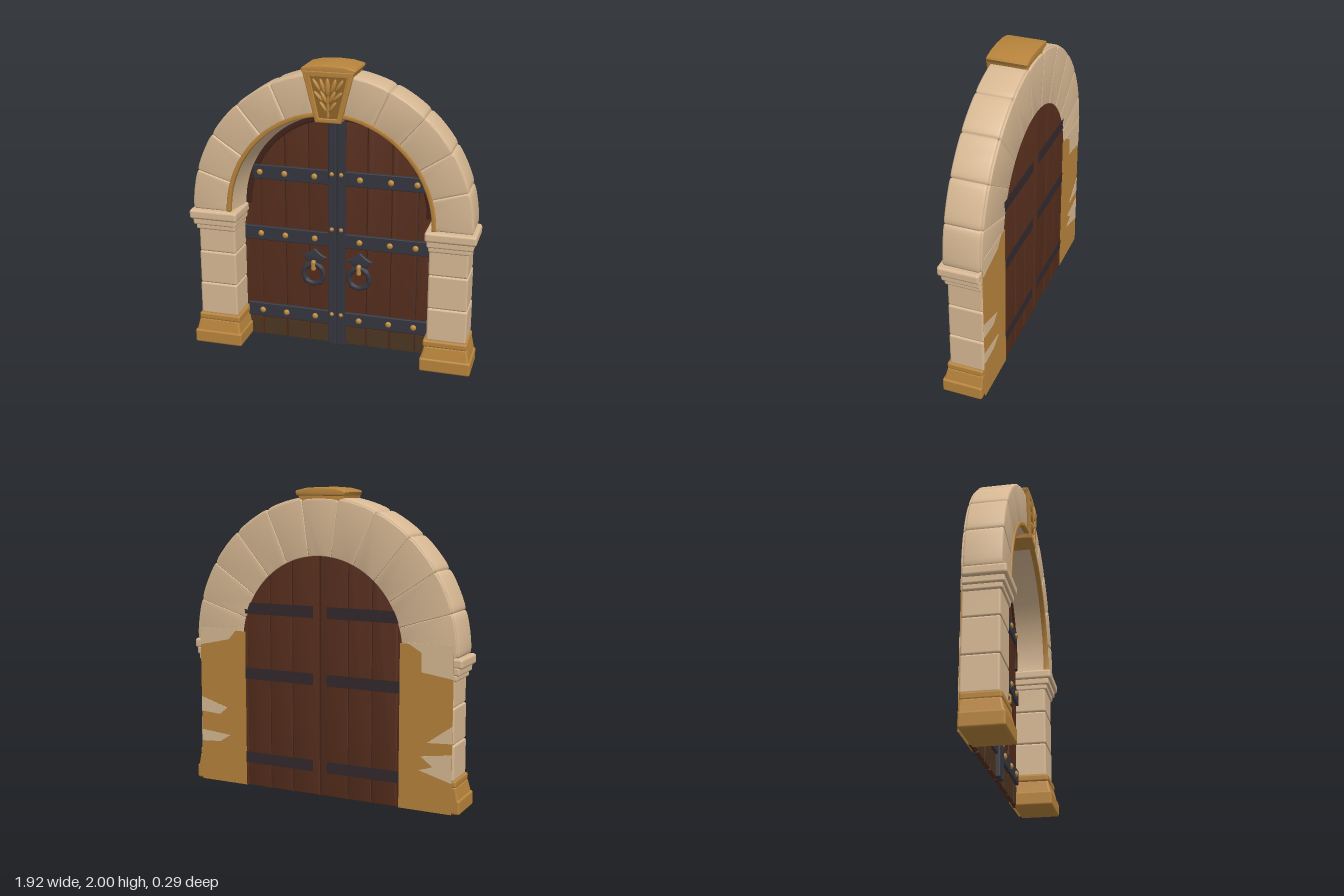
import * as THREE from 'three';
import { toCreasedNormals } from 'three/addons/utils/BufferGeometryUtils.js';
import { RoundedBoxGeometry } from 'three/addons/geometries/RoundedBoxGeometry.js';

const flat = (name, color, side = THREE.FrontSide) => {
  const m = new THREE.MeshStandardMaterial({ color, side });
  m.name = name;
  return m;
};

export function createModel() {
  const stone = flat('stone', 0xd8b994, THREE.DoubleSide);
  const gold = flat('ochreStone', 0xb8843c);
  const darkGold = flat('carvedRecess', 0x8f6429);
  const wood = flat('wood', 0x562e1d);
  const darkWood = flat('darkWood', 0x41241a);
  const stained = flat('stainedWood', 0x4c3522);
  const iron = flat('iron', 0x363640);
  const ironShade = flat('ironShade', 0x33292b);
  const bronze = flat('bronze', 0xbd8a3c);

  const model = new THREE.Group();
  const SPRING = 0.98; // height where the arch begins

  const add = (parent, name, geo, mat, x = 0, y = 0, z = 0) => {
    const m = new THREE.Mesh(geo, mat);
    m.name = name;
    m.position.set(x, y, z);
    parent.add(m);
    return m;
  };
  // Rounded block given by its limits; s mirrors it in x
  const block = (parent, name, mat, s, [x0, x1], [y0, y1], [z0, z1], r = 0.012, taper = 1) => {
    const g = r ? new RoundedBoxGeometry(x1 - x0, y1 - y0, z1 - z0, 2, r)
      : new THREE.BoxGeometry(x1 - x0, y1 - y0, z1 - z0);
    if (taper !== 1) {
      const p = g.attributes.position, h = y1 - y0;
      for (let i = 0; i < p.count; i++) {
        const k = 1 + (taper - 1) * (p.getY(i) / h + 0.5);
        p.setX(i, p.getX(i) * k);
        p.setZ(i, (p.getZ(i) + (z1 - z0) / 2) * (1 + (k - 1) * 0.7) - (z1 - z0) / 2);
      }
      g.computeVertexNormals();
    }
    return add(parent, name, g, mat, s * (x0 + x1) / 2, (y0 + y1) / 2, (z0 + z1) / 2);
  };
  // Extruded outline between z0 and z1, bevelled inwards
  const slab = (parent, name, mat, shape, z0, z1, bevel = 0) => {
    const g = new THREE.ExtrudeGeometry(shape, {
      depth: z1 - z0 - 2 * bevel, bevelEnabled: bevel > 0, bevelSize: bevel,
      bevelThickness: bevel, bevelOffset: -bevel, bevelSegments: 3, curveSegments: 40,
    });
    return add(parent, name, toCreasedNormals(g, 0.6), mat, 0, 0, z0 + bevel);
  };
  const poly = (pts) => new THREE.Shape(pts.map(([x, y]) => new THREE.Vector2(x, y)));
  const halfRing = (r0, r1) => {
    const s = new THREE.Shape();
    s.absarc(0, 0, r1, 0, Math.PI, false);
    s.absarc(0, 0, r0, Math.PI, 0, true);
    return s;
  };

  // Arch, slightly taller than a half circle
  const arch = new THREE.Group();
  arch.name = 'arch';
  arch.position.y = SPRING;
  arch.scale.y = 1.03;
  model.add(arch);
  // Wedge outline between two angles, outer corners eased
  const wedge = (s, a0, a1, r0, r1) => {
    const pts = [];
    [0, 0.02, 0.06, 0.15, 0.3, 0.5, 0.7, 0.85, 0.94, 0.98, 1].forEach((t, k) => {
      const a = a0 + (a1 - a0) * t;
      const r = r1 - ([0.012, 0.006, 0.002][Math.min(k, 10 - k)] || 0);
      pts.push([s * r * Math.cos(a), r * Math.sin(a)]);
    });
    for (let k = 4; k >= 0; k--) {
      const a = a0 + (a1 - a0) * k / 4;
      pts.push([s * r0 * Math.cos(a), r0 * Math.sin(a)]);
    }
    return poly(pts);
  };
  const step = 16.4 * Math.PI / 180;
  for (const s of [1, -1]) {
    for (let i = 0; i < 5; i++) {
      slab(arch, 'archStone', stone, wedge(s, i * step, (i + 1) * step, 0.685, 0.937), -0.135, 0.1, 0.013);
      slab(arch, 'archRearStone', stone, wedge(s, i * step, (i + 1) * step, 0.57, 0.925), -0.147, -0.13, 0.005);
    }
  }
  slab(arch, 'archRearStone', stone, wedge(1, 5 * step, Math.PI - 5 * step, 0.57, 0.92), -0.147, -0.13, 0.005);
  slab(arch, 'archTrim', gold, halfRing(0.672, 0.7), 0.07, 0.108, 0.006);
  // Splayed inner face of the arch
  const reveal = new THREE.LatheGeometry(
    [new THREE.Vector2(0.632, -0.135), new THREE.Vector2(0.675, 0.09)], 48, Math.PI / 2, Math.PI);
  reveal.rotateX(Math.PI / 2);
  add(arch, 'archReveal', reveal, stone);
  slab(arch, 'doorFrame', darkWood, halfRing(0.6, 0.64), -0.135, -0.105, 0.006);

  // Keystone with a carved leaf panel
  const key = new THREE.Group();
  key.name = 'keystone';
  model.add(key);
  const trap = (w0, y0, w1, y1) => [[-w0, y0], [w0, y0], [w1, y1], [-w1, y1]];
  slab(key, 'keystoneBody', gold, poly(trap(0.083, 1.64, 0.168, 1.97)), -0.132, 0.108, 0.01);
  const frame = poly(trap(0.083, 1.637, 0.166, 1.96));
  frame.holes.push(new THREE.Path(trap(0.058, 1.665, 0.118, 1.925).reverse()
    .map(([x, y]) => new THREE.Vector2(x, y))));
  slab(key, 'keystoneFrame', gold, frame, 0.09, 0.122, 0.006);
  slab(key, 'keystonePanel', darkGold, poly(trap(0.06, 1.663, 0.12, 1.927)), 0.105, 0.111);
  const crown = poly([[-0.165, 1.945], [0.165, 1.945], [0.176, 1.967], [0.17, 1.978],
    [0.1, 1.994], [0, 2], [-0.1, 1.994], [-0.17, 1.978], [-0.176, 1.967]]);
  slab(key, 'keystoneCrown', gold, crown, -0.146, 0.118, 0.01);
  const leaf = (x, y, tilt, len, z = 0.116) => {
    const m = add(key, 'leaf', new THREE.SphereGeometry(1, 12, 8), gold, x, y, z);
    m.scale.set(len * 0.3, len, 0.016);
    m.rotation.z = tilt;
  };
  leaf(0, 1.865, 0, 0.058, 0.126);
  for (const s of [1, -1]) {
    [[0.036, 1.87, 0.3, 0.048], [0.074, 1.875, 0.55, 0.045], [0.027, 1.8, 0.45, 0.045],
      [0.062, 1.805, 0.75, 0.042], [0.03, 1.74, 0.6, 0.04]]
      .forEach(([x, y, t, l]) => leaf(s * x, y, -s * t, l));
  }
  add(key, 'leafStem', new THREE.CylinderGeometry(0.007, 0.01, 0.18, 8), gold, 0, 1.765, 0.115);

  // Pillars
  for (const s of [1, -1]) {
    const p = new THREE.Group();
    p.name = s > 0 ? 'leftPillar' : 'rightPillar';
    model.add(p);
    block(p, 'plinth', gold, s, [0.62, 0.957], [0, 0.095], [-0.14, 0.127], 0.014);
    block(p, 'plinthSlope', gold, s, [0.625, 0.95], [0.075, 0.178], [-0.14, 0.122], 0.014, 0.87);
    block(p, 'plinthCollar', gold, s, [0.635, 0.93], [0.168, 0.216], [-0.14, 0.102], 0.014);
    [[0.21, 0.44], [0.44, 0.672], [0.672, 0.85]].forEach((y, i) =>
      block(p, 'pillarStone', stone, s, [0.655, 0.918 - i * 0.004], y, [-0.144, 0.086], 0.014));
    block(p, 'capitalNeck', stone, s, [0.65, 0.925], [0.835, 0.878], [-0.14, 0.098]);
    block(p, 'capitalStep', stone, s, [0.64, 0.94], [0.87, 0.922], [-0.14, 0.112]);
    block(p, 'capitalSlab', stone, s, [0.628, 0.96], [0.912, 0.978], [-0.14, 0.13], 0.018);
    // Rear face with patches of exposed stone
    block(p, 'rearPanel', gold, s, [0.555, 0.905], [0, 1.05], [-0.148, -0.141], 0);
    const patches = s > 0
      ? [[[0.905, 0.27], [0.905, 0.35], [0.68, 0.33], [0.76, 0.28]], [[0.905, 0.48], [0.905, 0.58], [0.7, 0.52], [0.76, 0.47]],
        [[0.905, 0.94], [0.905, 1.06], [0.62, 1.06], [0.68, 0.99]]]
      : [[[0.905, 0.2], [0.905, 0.38], [0.7, 0.35], [0.78, 0.29], [0.69, 0.26]], [[0.905, 0.45], [0.905, 0.56], [0.74, 0.44]],
        [[0.905, 0.85], [0.905, 1.06], [0.6, 1.06], [0.7, 1.0], [0.7, 0.88]]];
    patches.forEach((pts) =>
      slab(p, 'rearStonePatch', stone, poly(pts.map(([x, y]) => [s * x, y])), -0.15, -0.143));
  }

  // Double door, set deep in the opening
  const arcTop = (x) => SPRING + 1.03 * Math.sqrt(Math.max(0, 0.625 ** 2 - x * x));
  for (const s of [1, -1]) {
    const d = new THREE.Group();
    d.name = s > 0 ? 'leftDoor' : 'rightDoor';
    model.add(d);
    // Board outline between two x values, rounded off by the arch
    const board = (x0, x1, y0, drop) => {
      const pts = [[s * x0, y0], [s * x1, y0]];
      for (let k = 0; k <= 6; k++) {
        const x = x1 + (x0 - x1) * k / 6;
        pts.push([s * x, arcTop(x) - drop]);
      }
      return poly(pts);
    };
    const seams = [0.002, 0.2, 0.365, 0.54, 0.67];
    for (let i = 0; i < 4; i++) {
      const x0 = seams[i] + 0.003, x1 = seams[i + 1] - 0.003;
      slab(d, 'plank', wood, board(x0, x1, 0, 0), -0.144, -0.116 - (i % 2) * 0.004, 0.006);
      block(d, 'stainedFoot', stained, s, [x0 + 0.006, x1 - 0.006], [0.004, 0.13], [-0.122, -0.114], 0);
    }
    slab(d, 'backingBoard', darkWood, board(0, 0.536, 0.01, 0.02), -0.138, -0.126);
    block(d, 'centreBar', iron, s, [0.004, 0.057], [0, 1.645], [-0.13, -0.085], 0.006);

    // Straps and studs
    const stud = (x, y, z, r) => {
      const m = add(d, 'stud', new THREE.SphereGeometry(r, 12, 8), bronze, s * x, y, z);
      m.scale.z = 0.7;
    };
    for (const [y, end] of [[1.208, 0.585], [0.77, 0.652], [0.195, 0.64]]) {
      block(d, 'strap', iron, s, [0.05, end], [y - 0.05, y + 0.05], [-0.125, -0.1], 0.006);
      block(d, 'strapRear', ironShade, s, [0.05, 0.555], [y - 0.038, y + 0.038], [-0.147, -0.14], 0);
      for (const x of [0.155, 0.362, 0.535]) stud(x, y, -0.098, 0.021);
    }
    for (const y of [1.238, 0.853, 0.23]) stud(0.032, y, -0.084, 0.015);

    // Ring handle
    const h = new THREE.Group();
    h.name = 'ringHandle';
    h.position.set(s * 0.158, 0, -0.055);
    d.add(h);
    slab(h, 'handlePlate', iron, poly([[0, 0.555], [0.045, 0.6], [0.087, 0.637], [0.05, 0.655],
      [0, 0.697], [-0.05, 0.655], [-0.087, 0.637], [-0.045, 0.6]]), -0.07, -0.04, 0.006);
    add(h, 'ring', new THREE.TorusGeometry(0.07, 0.017, 10, 32), iron, 0, 0.52, -0.028);
    const loop = add(h, 'ringLoop', new THREE.CapsuleGeometry(0.017, 0.045, 4, 10), bronze, 0, 0.582, -0.022);
    loop.scale.z = 1.2;
    for (const a of [-0.7, 0.7, 2.4, -2.4]) {
      const c = add(h, 'ringCollar', new THREE.CylinderGeometry(0.022, 0.022, 0.018, 12), iron,
        0.07 * Math.sin(a), 0.52 + 0.07 * Math.cos(a), -0.028);
      c.rotation.z = Math.PI / 2 - a;
    }
  }
  return model;
}
